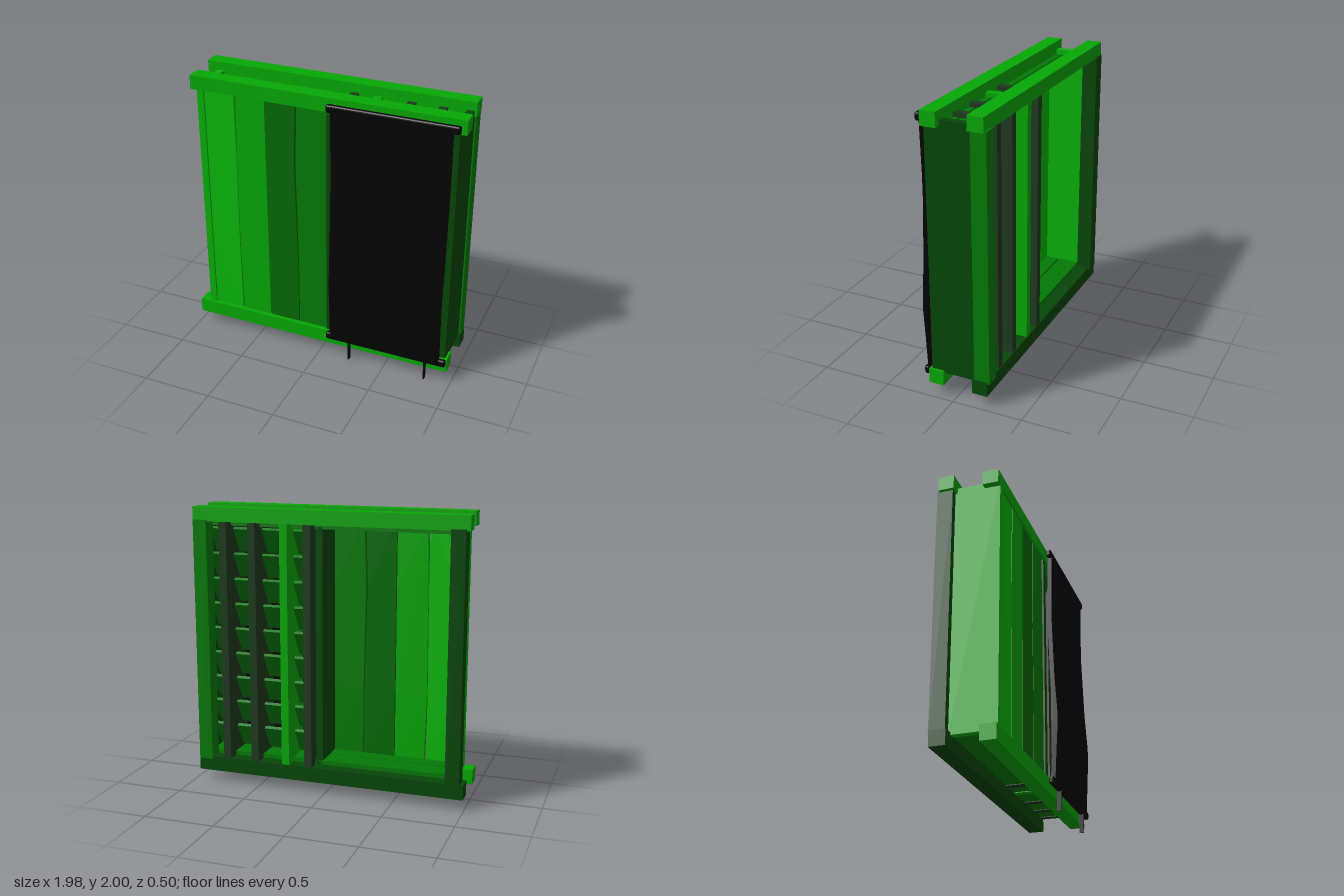
import * as THREE from 'three';
import { RoundedBoxGeometry } from 'three/addons/geometries/RoundedBoxGeometry.js';

const mat = color => new THREE.MeshStandardMaterial({ color, flatShading: true });

const GREEN = 0x06a806, MID = 0x047a06, DARK = 0x064608, DEEP = 0x1e3a1e, BLACK = 0x030303;

// Box given by its extents on each axis
function box(parent, name, color, [x0, x1], [y0, y1], [z0, z1]) {
  const mesh = new THREE.Mesh(new THREE.BoxGeometry(x1 - x0, y1 - y0, z1 - z0), mat(color));
  mesh.position.set((x0 + x1) / 2, (y0 + y1) / 2, (z0 + z1) / 2);
  mesh.name = name;
  parent.add(mesh);
  return mesh;
}

// Upright board whose two long edges wander slightly in x
function plank(parent, name, color, left, right) {
  const ys = [0.18, 0.7, 1.45, 1.92];
  const pts = [
    ...left.map((x, i) => new THREE.Vector2(x, ys[i])),
    ...right.map((x, i) => new THREE.Vector2(x, ys[i])).reverse(),
  ];
  const geo = new THREE.ExtrudeGeometry(new THREE.Shape(pts), { depth: 0.04, bevelEnabled: false });
  const mesh = new THREE.Mesh(geo, mat(color));
  mesh.position.z = 0.125;
  mesh.name = name;
  parent.add(mesh);
}

export function createModel() {
  const model = new THREE.Group();
  model.name = 'shutteredWindow';

  // Horizontal beams, each pair slightly staggered
  box(model, 'topFrontBeam', GREEN, [-0.968, 0.99], [1.9, 2], [0.07, 0.18]);
  box(model, 'topBackBeam', GREEN, [-0.995, 0.962], [1.9, 2], [-0.235, -0.125]);
  box(model, 'bottomFrontBeam', GREEN, [-0.995, 0.962], [0.08, 0.185], [0.087, 0.195]);
  box(model, 'bottomBackBeam', DARK, [-0.995, 0.962], [0.08, 0.185], [-0.235, -0.125]);

  // Back corner posts
  box(model, 'rightBackPost', DARK, [-0.97, -0.87], [0.17, 1.91], [-0.25, -0.14]);
  box(model, 'leftBackPost', MID, [0.855, 0.955], [0.17, 1.91], [-0.25, -0.14]);

  // Side walls and middle divider
  box(model, 'rightWall', 0x08b008, [-0.92, -0.87], [0.17, 1.94], [-0.14, 0.178]);
  box(model, 'leftWall', DARK, [0.895, 0.945], [0.17, 1.94], [-0.14, 0.178]);
  box(model, 'divider', DARK, [0.04, 0.09], [0.18, 1.88], [-0.14, 0.178]);

  // Floor and ceiling boards with narrow gaps
  [[-0.14, -0.084], [-0.083, 0.018], [0.028, 0.13]].forEach((z, i) => {
    box(model, 'floorBoard' + (i + 1), MID, [-0.87, 0.895], [0.175, 0.215], z);
    box(model, 'ceilingBoard' + (i + 1), MID, [-0.87, 0.895], [1.865, 1.905], z);
  });

  // Front planks separated by uneven slits
  const planks = [
    [0x08b808, [-0.87, -0.87, -0.87, -0.87], [-0.648, -0.651, -0.645, -0.646]],
    [0x06a606, [-0.633, -0.646, -0.641, -0.63], [-0.417, -0.417, -0.417, -0.417]],
    [0x046a06, [-0.411, -0.411, -0.411, -0.411], [-0.186, -0.185, -0.204, -0.19]],
    [0x047a06, [-0.178, -0.178, -0.193, -0.178], [0.04, 0.04, 0.04, 0.04]],
  ];
  planks.forEach(([c, l, r], i) => plank(model, 'frontPlank' + (i + 1), c, l, r));

  // Louvre uprights
  const louvre = new THREE.Group();
  louvre.name = 'louvre';
  model.add(louvre);
  const posts = [[0.095, DEEP], [0.265, GREEN], [0.5, DEEP], [0.715, DEEP]];
  posts.forEach(([x, c], i) =>
    box(louvre, 'louvrePost' + (i + 1), c, [x, x + 0.055], [0.17, 1.935], [-0.23, 0.07]));

  // Tilted slats filling each bay, top edges leaning back
  posts.forEach(([x], bay) => {
    const x0 = x + 0.055;
    const x1 = bay < 3 ? posts[bay + 1][0] : 0.895;
    for (let i = 0; i < 9; i++) {
      const y = 0.32 + i * 0.18;
      const slat = box(louvre, `slat${bay + 1}_${i + 1}`, MID, [x0, x1], [y - 0.1, y + 0.1], [-0.0575, -0.0325]);
      slat.rotation.x = -0.55;
    }
  });

  // Hanging blind: billowing cloth made from a side profile
  const blind = new THREE.Group();
  blind.name = 'blind';
  model.add(blind);
  const line = [[0.15, 0.214], [0.4, 0.226], [0.58, 0.237], [0.68, 0.236], [0.95, 0.219],
    [1.4, 0.205], [1.55, 0.205], [1.95, 0.214]];
  const profile = new THREE.Shape([
    ...line.map(([y, z]) => new THREE.Vector2(-(z + 0.016), y)),
    ...line.map(([y, z]) => new THREE.Vector2(-(z - 0.016), y)).reverse(),
  ]);
  const cloth = new THREE.Mesh(
    new THREE.ExtrudeGeometry(profile, { depth: 0.82, bevelEnabled: false }), mat(BLACK));
  cloth.rotation.y = Math.PI / 2;
  cloth.position.x = 0.09;
  cloth.name = 'blindCloth';
  blind.add(cloth);

  // Flat rounded battens at both ends of the blind
  for (const [name, y] of [['topBatten', 1.943], ['bottomBatten', 0.165]]) {
    const batten = new THREE.Mesh(new RoundedBoxGeometry(0.905, 0.056, 0.036, 2, 0.014), mat(BLACK));
    batten.position.set(0.508, y, 0.214);
    batten.name = name;
    blind.add(batten);
  }

  // Tie straps hanging below
  [0.235, 0.81].forEach((x, i) =>
    box(blind, 'strap' + (i + 1), BLACK, [x - 0.005, x + 0.005], [0, 0.16], [0.198, 0.231]));

  return model;
}
